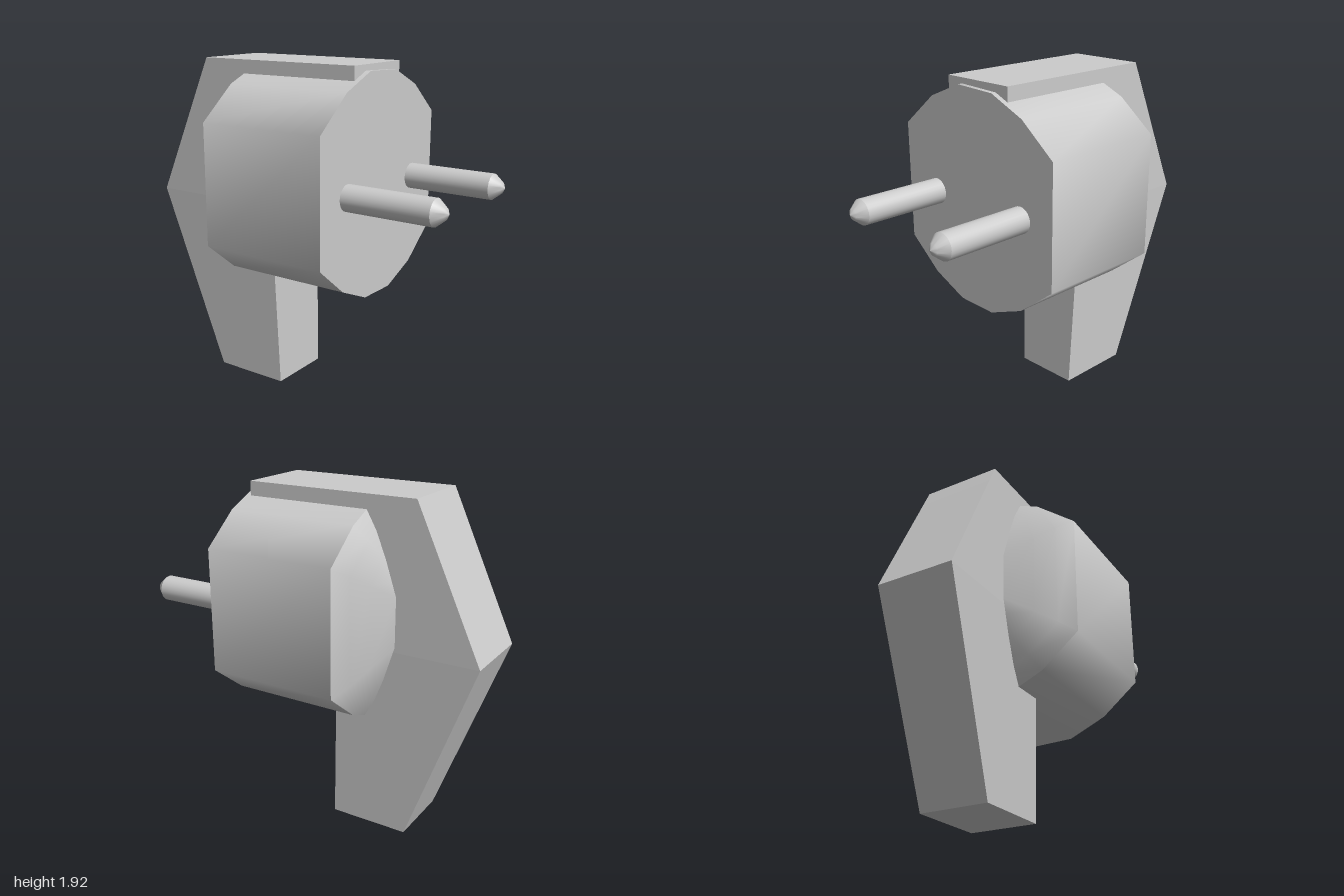
import * as THREE from 'three';
import { toCreasedNormals } from 'three/addons/utils/BufferGeometryUtils.js';

const material = new THREE.MeshStandardMaterial({ color: 0xcccccc });

// Skin a list of rings, each with the same number of [x, y, z] points
function loft(rings) {
  const n = rings[0].length;
  const index = [];
  for (let r = 0; r < rings.length - 1; r++) {
    for (let i = 0; i < n; i++) {
      const a = r * n + i, a2 = r * n + (i + 1) % n;
      const b = a + n, b2 = a2 + n;
      index.push(a, b, b2, a, b2, a2);
    }
  }
  const geometry = new THREE.BufferGeometry();
  geometry.setAttribute('position', new THREE.Float32BufferAttribute(rings.flat(2), 3));
  geometry.setIndex(index);
  geometry.computeVertexNormals();
  return geometry;
}

// Same geometry with hard facets
function faceted(geometry) {
  const flat = geometry.toNonIndexed();
  flat.computeVertexNormals();
  return flat;
}

function addMesh(parent, name, geometry) {
  const mesh = new THREE.Mesh(geometry, material);
  mesh.name = name;
  parent.add(mesh);
  return mesh;
}

// Flat-sided round outline of the body as [z, y] around its centre
const BODY_Y = 1.265;
const OUTLINE = [
  [0.573, 0.345], [0.34, 0.532], [0.117, 0.623], [-0.142, 0.613], [-0.36, 0.517], [-0.573, 0.345],
  [-0.573, -0.348], [-0.345, -0.527], [-0.112, -0.62], [0.137, -0.615], [0.36, -0.517], [0.573, -0.343],
];
const bodyRing = (x, s) => OUTLINE.map(([z, y]) => [x, BODY_Y + y * s, z * s]);

// Rectangular section of the handle at height y
const handleRing = (y, x0, x1, w) => [[x0, y, -w], [x1, y, -w], [x1, y, w], [x0, y, w]];

export function createModel() {
  const model = new THREE.Group();
  model.name = 'powerPlug';

  // Body: smooth wall, flat contact face and domed back
  const body = new THREE.Group();
  body.name = 'body';
  model.add(body);
  addMesh(body, 'bodyWall', loft([bodyRing(-0.34, 1), bodyRing(0.42, 1)]));
  addMesh(body, 'contactFace', faceted(loft([bodyRing(0.42, 1), bodyRing(0.42, 0)])));
  const dome = [[-0.56, 0], [-0.552, 0.2], [-0.52, 0.4], [-0.45, 0.66], [-0.398, 0.85], [-0.34, 1]];
  addMesh(body, 'domedBack', loft(dome.map(([x, s]) => bodyRing(x, s))));

  // Handle: angled grip with a flat tab reaching over the body
  const sections = [
    [0, -0.37, -0.37, 0],
    [0, -0.595, -0.135, 0.197],
    [1.1, -1, -0.165, 0.228],
    [1.8, -0.676, -0.19, 0.228],
    [1.8, -0.676, 0.39, 0.228],
    [1.92, -0.62, 0.39, 0.228],
    [1.92, -0.12, -0.12, 0],
  ];
  addMesh(model, 'handle', faceted(loft(sections.map((s) => handleRing(...s)))));

  // Two round pins with blunted tips
  const profile = [[0, 0.38], [0.073, 0.38], [0.073, 0.93], [0.032, 0.982], [0, 1]]
    .map(([r, y]) => new THREE.Vector2(r, y));
  const pin = toCreasedNormals(new THREE.LatheGeometry(profile, 24).rotateZ(-Math.PI / 2), 0.6);
  for (const [name, z] of [['frontPin', 0.325], ['backPin', -0.345]]) {
    addMesh(model, name, pin).position.set(0, 1.257, z);
  }

  return model;
}
